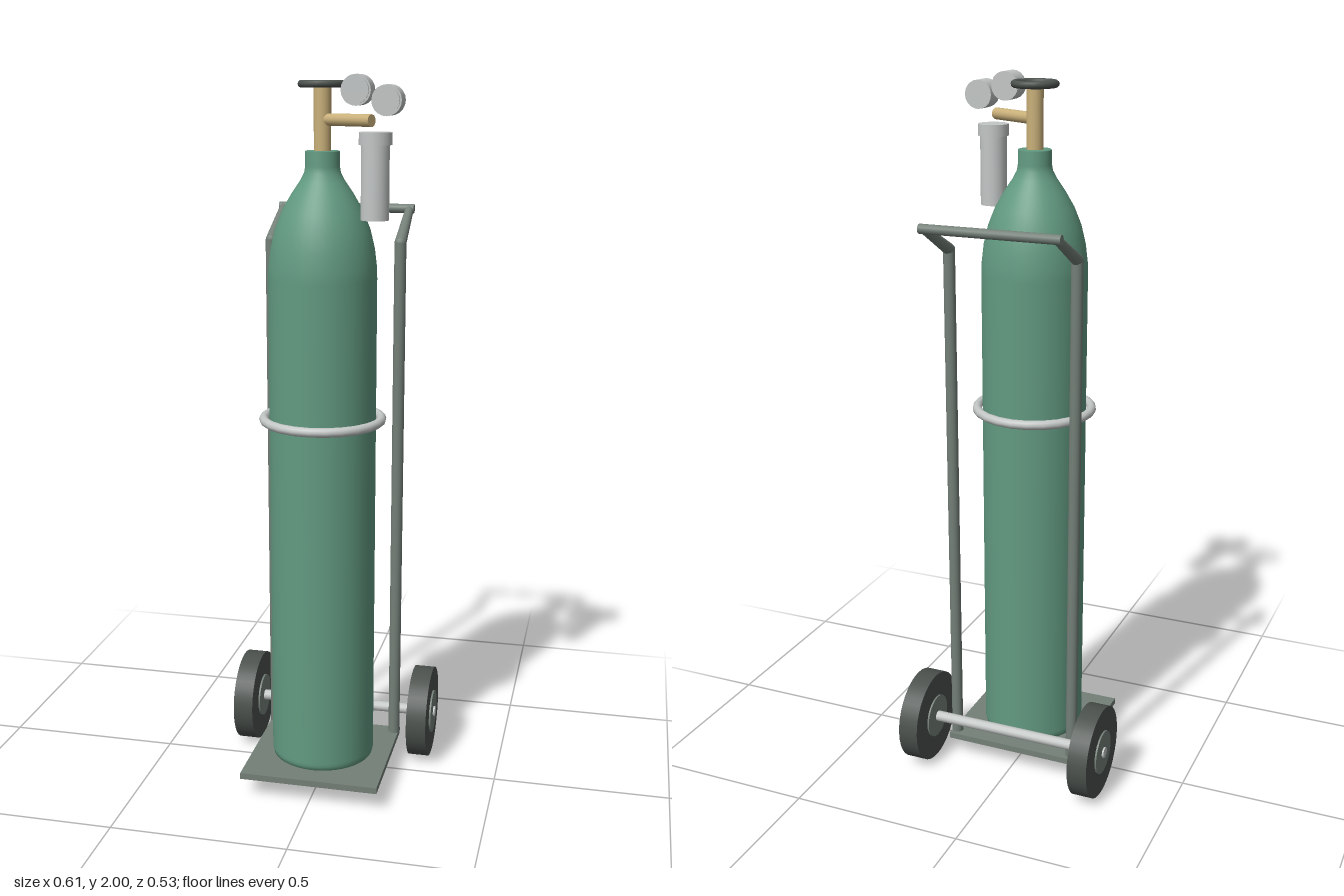
import * as THREE from 'three';

const material = (name, color) => {
  const m = new THREE.MeshStandardMaterial({ color });
  m.name = name;
  return m;
};

export function createModel() {
  const group = new THREE.Group();
  const green = material('tank green', 0x629a81);
  const frame = material('frame grey', 0x748078);
  const rubber = material('dark rubber', 0x4b514d);
  const silver = material('silver', 0xc3c7c6);
  const brass = material('brass', 0xc9b07a);
  const tankZ = 0.065;

  const add = (name, geometry, mat, x = 0, y = 0, z = 0) => {
    const mesh = new THREE.Mesh(geometry, mat);
    mesh.name = name;
    mesh.position.set(x, y, z);
    group.add(mesh);
    return mesh;
  };

  // Round bar between two points, with an optional taper
  const bar = (name, mat, a, b, r0, r1 = r0, sides = 14) => {
    const from = new THREE.Vector3(...a), to = new THREE.Vector3(...b);
    const dir = to.clone().sub(from);
    const mesh = add(name, new THREE.CylinderGeometry(r1, r0, dir.length(), sides), mat);
    mesh.position.copy(from).add(to).multiplyScalar(0.5);
    mesh.quaternion.setFromUnitVectors(new THREE.Vector3(0, 1, 0), dir.normalize());
    return mesh;
  };

  // Gas cylinder: straight wall, domed shoulder, neck
  const profile = [
    [0, 0.075], [0.135, 0.075], [0.144, 0.08], [0.147, 0.092], [0.147, 0.1], [0.147, 1.47],
    [0.146, 1.5], [0.14, 1.55], [0.128, 1.6], [0.108, 1.65], [0.082, 1.695],
    [0.06, 1.727], [0.049, 1.748], [0.046, 1.765], [0.046, 1.803], [0.044, 1.805], [0, 1.805],
  ].map(([r, y]) => new THREE.Vector2(r, y));
  add('tank', new THREE.LatheGeometry(profile, 40), green, 0, 0, tankZ);

  // Valve: stem, hand wheel and angled outlet
  bar('valveStem', brass, [0, 1.8, tankZ], [0, 1.97, tankZ], 0.023, 0.023, 20);
  add('handWheel', new THREE.TorusGeometry(0.055, 0.01, 10, 20), rubber, 0, 1.975, tankZ)
    .rotation.x = Math.PI / 2;
  bar('valveOutlet', brass, [0, 1.885, tankZ], [0.146, 1.885, 0.143], 0.016);

  // Regulator bottle with its wider cap
  bar('regulatorBody', silver, [0.157, 1.635, 0.146], [0.157, 1.83, 0.146], 0.037, 0.037, 20);
  bar('regulatorCap', silver, [0.157, 1.825, 0.146], [0.157, 1.857, 0.146], 0.043, 0.043, 20);

  // Pair of gauges facing front
  for (const [x, y] of [[0.111, 1.961], [0.19, 1.936]]) {
    bar('gaugeCase', silver, [x, y, 0.118], [x, y, 0.177], 0.039, 0.039, 20);
    bar('gaugeFace', silver, [x, y, 0.176], [x, y, 0.183], 0.034, 0.034, 20);
  }

  // Retaining ring around the tank
  add('retainingRing', new THREE.TorusGeometry(0.163, 0.013, 10, 24), silver, 0, 1.08, tankZ)
    .rotation.x = Math.PI / 2;

  // Cart: base plate, uprights, swept handle
  add('basePlate', new THREE.BoxGeometry(0.395, 0.018, 0.382), frame, 0, 0.066, 0.071);
  for (const s of [-1, 1]) {
    const x = 0.184 * s;
    bar('upright', frame, [x, 0.07, -0.093], [x, 1.55, -0.093], 0.0165);
    add('uprightJoint', new THREE.SphereGeometry(0.0165, 14, 10), frame, x, 1.55, -0.093);
    bar('handleArm', frame, [x, 1.55, -0.093], [x, 1.63, -0.24], 0.0165, 0.012);
  }
  bar('handleGrip', frame, [-0.197, 1.63, -0.24], [0.197, 1.63, -0.24], 0.013);

  // Axle and wheels
  const [wy, wz] = [0.133, -0.133];
  bar('axle', silver, [-0.303, wy, wz], [0.303, wy, wz], 0.0155, 0.0155, 12);
  for (const s of [-1, 1]) {
    bar('tire', rubber, [0.235 * s, wy, wz], [0.293 * s, wy, wz], 0.133, 0.133, 36);
    bar('wheelHub', frame, [0.23 * s, wy, wz], [0.298 * s, wy, wz], 0.063, 0.063, 24);
  }
  return group;
}
